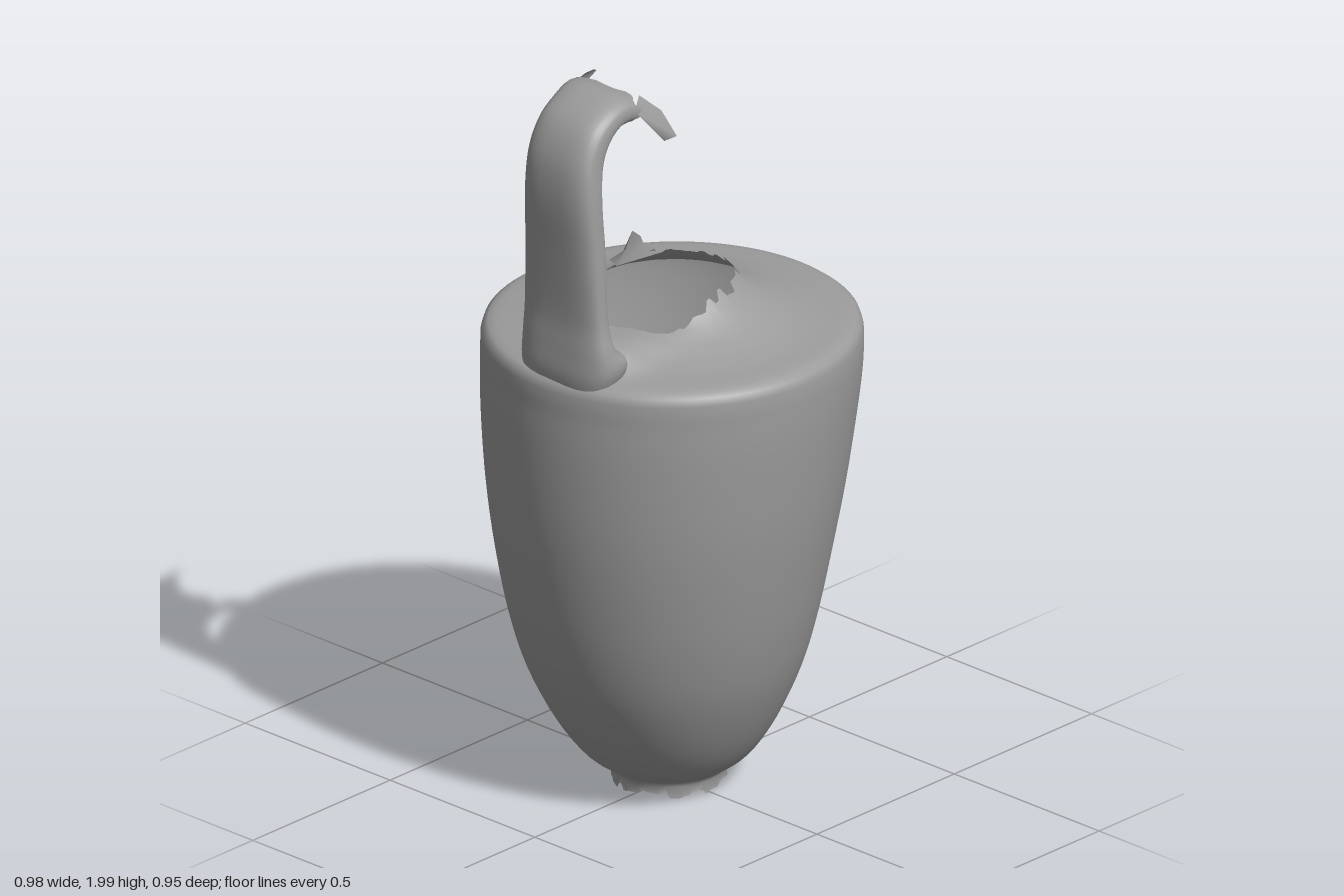
import * as THREE from 'three';
import { mergeVertices } from 'three/addons/utils/BufferGeometryUtils.js';

const material = new THREE.MeshStandardMaterial({ color: 0x9c9c9c, side: THREE.DoubleSide });

// Repeatable noise in 0..1 for the broken edges
const jag = (i) => {
  const s = Math.sin(i * 12.9898 + 4.1) * 43758.5453;
  return s - Math.floor(s);
};

// Straight-line lookup in a list of [key, value] with rising keys
function lookup(table, key) {
  let i = 1;
  while (i < table.length - 1 && table[i][0] < key) i++;
  const [a, va] = table[i - 1], [b, vb] = table[i];
  return va + (vb - va) * THREE.MathUtils.clamp((key - a) / (b - a), 0, 1);
}

function add(group, name, geometry) {
  const mesh = new THREE.Mesh(geometry, material);
  mesh.name = name;
  group.add(mesh);
}

function indexed(positions, index) {
  const g = new THREE.BufferGeometry();
  g.setAttribute('position', new THREE.Float32BufferAttribute(positions, 3));
  g.setIndex(index);
  g.computeVertexNormals();
  return g;
}

// Thin broken flake, fanned from its first corner
function flake(corners) {
  const index = [];
  for (let i = 1; i < corners.length - 1; i++) index.push(0, i, i + 1);
  return indexed(corners.flat(), index);
}

// Shoulder height by radius, and the radius of the broken mouth by angle
const shoulder = [
  [0.15, 1.4], [0.165, 1.38], [0.182, 1.362], [0.21, 1.338], [0.25, 1.313],
  [0.31, 1.29], [0.37, 1.277], [0.44, 1.27], [0.462, 1.265],
];
const mouth = [
  [-Math.PI, 0.24], [-2.55, 0.243], [-1.77, 0.235], [-1.62, 0.178], [0, 0.162],
  [1.57, 0.165], [2.1, 0.187], [2.35, 0.23], [Math.PI, 0.24],
];

// Belly and shoulder in one turned wall, slightly oval and leaning, broken at both ends
function bodyGeometry() {
  const belly = new THREE.SplineCurve([
    [0.155, 0.05], [0.22, 0.1], [0.287, 0.2], [0.35, 0.34], [0.39, 0.48], [0.42, 0.63],
    [0.448, 0.8], [0.466, 0.95], [0.479, 1.1], [0.482, 1.2],
  ].map(([x, y]) => new THREE.Vector2(x, y))).getPoints(36);
  const lower = [[0.146, 0.012], [0.143, 0.035]].map(([x, y]) => new THREE.Vector2(x, y));
  const edge = [[0.481, 1.235], [0.475, 1.255]].map(([x, y]) => new THREE.Vector2(x, y));
  const steps = 14, sides = 96;
  const top = [];
  for (let i = 0; i <= steps; i++) top.push(new THREE.Vector2(0.462 - 0.3 * (i / steps), 1.265));
  const points = [...lower, ...belly, ...edge, ...top];
  const g = new THREE.LatheGeometry(points, sides);
  const p = g.attributes.position, rows = points.length;
  for (let i = 0; i < p.count; i++) {
    const row = i % rows, k = Math.floor(i / rows) % sides;
    let x = p.getX(i), y = p.getY(i), z = p.getZ(i);
    const s = (row - (rows - 1 - steps)) / steps;
    if (s >= 0) {
      const a = Math.atan2(z, x);
      const broken = (jag(Math.floor(k / 2) + 50) - 0.5) * 0.02;
      const r = 0.462 + (lookup(mouth, a) + broken - 0.462) * s;
      x = Math.cos(a) * r;
      z = Math.sin(a) * r;
      y = lookup(shoulder, r);
      // Fillet running from the handle to the mouth
      const near = x < 0 ? Math.exp(-(((z - 0.03) / 0.14) ** 4)) : 0;
      y += Math.max(0, 1.332 - y) * near * THREE.MathUtils.smoothstep(-r, -0.45, -0.34);
    }
    if (row === 0) y += jag(Math.floor(k / 2)) * 0.022 - 0.012;
    x = x * 1.012 - 0.027 * Math.sin(Math.PI * THREE.MathUtils.clamp((y - 0.05) / 1.12, 0, 1));
    z = z * 0.986 - 0.01 * (1 - THREE.MathUtils.smoothstep(y, 0.05, 0.9));
    p.setXYZ(i, x, y, z);
  }
  g.deleteAttribute('normal');
  g.deleteAttribute('uv');
  const welded = mergeVertices(g, 1e-5);
  welded.computeVertexNormals();
  return welded;
}

// Hollow strap handle: rounded sections between an outer and an inner edge
function handleGeometry() {
  // outer x, outer y, inner x, inner y, back z, front z
  const stations = [
    [-0.46, 1.2, -0.34, 1.23, -0.1, 0.15],
    [-0.474, 1.28, -0.31, 1.31, -0.115, 0.185],
    [-0.468, 1.35, -0.36, 1.355, -0.105, 0.18],
    [-0.46, 1.43, -0.375, 1.42, -0.1, 0.165],
    [-0.465, 1.6, -0.37, 1.6, -0.095, 0.152],
    [-0.472, 1.77, -0.37, 1.77, -0.09, 0.14],
    [-0.455, 1.87, -0.355, 1.85, -0.09, 0.13],
    [-0.41, 1.945, -0.33, 1.89, -0.09, 0.125],
    [-0.34, 1.985, -0.3, 1.91, -0.095, 0.12],
    [-0.28, 1.995, -0.27, 1.91, -0.11, 0.115],
    [-0.235, 1.985, -0.245, 1.905, -0.125, 0.11],
  ];
  const outer = new THREE.CatmullRomCurve3(stations.map((s) => new THREE.Vector3(s[0], s[1], s[4])));
  const inner = new THREE.CatmullRomCurve3(stations.map((s) => new THREE.Vector3(s[2], s[3], s[5])));
  const rows = 50, sides = 32, pos = [], index = [];
  const soft = (v) => Math.sign(v) * Math.abs(v) ** 0.72;
  for (let j = 0; j <= rows; j++) {
    const o = outer.getPoint(j / rows), n = inner.getPoint(j / rows);
    for (let i = 0; i < sides; i++) {
      const a = (i / sides) * Math.PI * 2;
      const k = 0.5 + 0.5 * soft(Math.cos(a));
      const m = 0.5 + 0.5 * soft(Math.sin(a));
      const broken = j === rows ? jag(i) * 0.04 - 0.02 : 0;
      pos.push(n.x + (o.x - n.x) * k + broken, n.y + (o.y - n.y) * k - broken * 0.3, o.z + (n.z - o.z) * m);
      if (j < rows) {
        const b = j * sides + i, c = j * sides + ((i + 1) % sides);
        index.push(b, b + sides, c, c, b + sides, c + sides);
      }
    }
  }
  return indexed(pos, index);
}

export function createModel() {
  const group = new THREE.Group();
  group.name = 'brokenJug';
  add(group, 'body', bodyGeometry());
  add(group, 'handle', handleGeometry());

  // Splinters left at the end of the handle
  add(group, 'handleSplinterFront', flake([
    [-0.25, 1.95, 0.108], [-0.21, 1.975, 0.085], [-0.15, 1.92, 0.105], [-0.125, 1.85, 0.135],
    [-0.16, 1.845, 0.125], [-0.185, 1.9, 0.115],
  ]));
  add(group, 'handleSplinterBack', flake([
    [-0.25, 1.95, -0.12], [-0.22, 1.985, -0.09], [-0.16, 1.965, -0.12], [-0.125, 1.945, -0.142],
    [-0.17, 1.93, -0.135], [-0.23, 1.87, -0.12],
  ]));

  // Splinter standing on the back of the broken mouth
  add(group, 'mouthSplinter', flake([
    [-0.02, 1.36, -0.174], [-0.06, 1.395, -0.16], [0, 1.405, -0.16], [0.02, 1.45, -0.156],
    [0.05, 1.425, -0.156], [0.06, 1.4, -0.155], [0.11, 1.37, -0.132],
  ]));
  return group;
}
